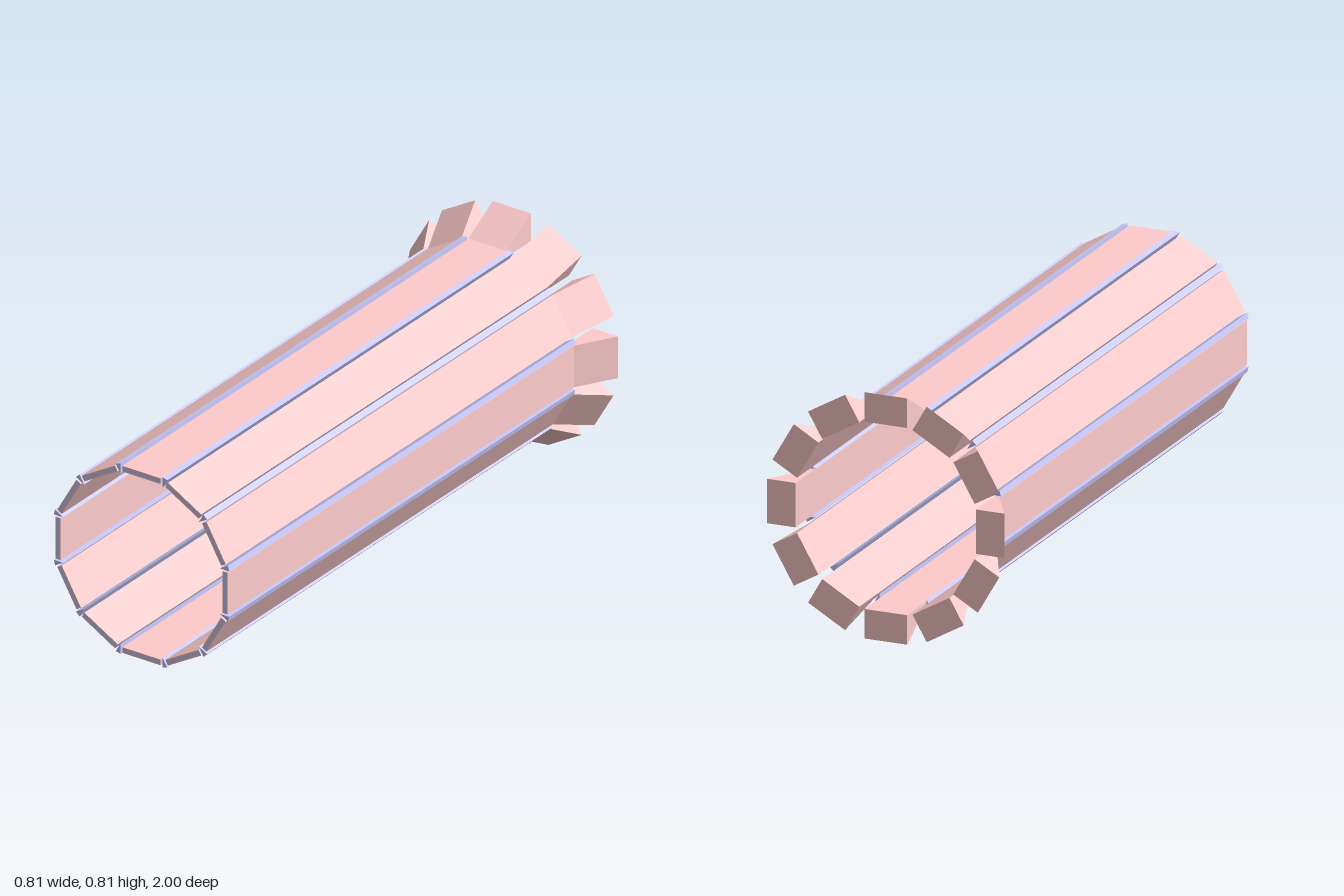
import * as THREE from 'three';

const SIDES = 12, CENTER_Y = 0.405;
const FRONT = 1, NECK = -0.87, BACK = -1;
const WIDTH = 0.146, R_IN = 0.308, R_OUT = 0.328, R_FLARE = 0.405;

const pink = new THREE.MeshStandardMaterial({ color: 0xffcccc, flatShading: true });
const lavender = new THREE.MeshStandardMaterial({ color: 0xccccff, flatShading: true });

function part(name, geometry, material) {
  const mesh = new THREE.Mesh(geometry, material);
  mesh.name = name;
  return mesh;
}

// flat board between two radii, running from the front to the neck
function board(r0, r1) {
  return new THREE.BoxGeometry(WIDTH, r1 - r0, FRONT - NECK)
    .translate(0, (r0 + r1) / 2, (FRONT + NECK) / 2);
}

// triangular strip whose thin edge points to the axis
function stripGeometry() {
  const shape = new THREE.Shape([
    new THREE.Vector2(0, 0.309),
    new THREE.Vector2(0.0095, 0.343),
    new THREE.Vector2(-0.0095, 0.343),
  ]);
  return new THREE.ExtrudeGeometry(shape, { depth: FRONT - NECK, bevelEnabled: false })
    .translate(0, 0, NECK);
}

// block that thickens outward toward the back, level on its inner side
function flareGeometry() {
  const geo = new THREE.BoxGeometry(WIDTH, 1, NECK - BACK);
  const p = geo.attributes.position;
  for (let i = 0; i < p.count; i++) {
    const back = p.getZ(i) < 0;
    const outer = back ? R_FLARE : R_OUT;
    p.setY(i, p.getY(i) > 0 ? outer : R_IN);
    p.setZ(i, back ? BACK : NECK);
  }
  geo.computeVertexNormals();
  return geo;
}

export function createModel() {
  const model = new THREE.Group();
  model.name = 'staveTube';

  const inner = board(R_IN, 0.313);
  const core = board(0.313, 0.323);
  const outer = board(0.323, R_OUT);
  const flare = flareGeometry();
  const strip = stripGeometry();
  const step = (Math.PI * 2) / SIDES;

  for (let i = 0; i < SIDES; i++) {
    // layered stave with its flared end block
    const stave = new THREE.Group();
    stave.name = 'stave';
    stave.add(
      part('innerLayer', inner, pink),
      part('coreLayer', core, lavender),
      part('outerLayer', outer, pink),
      part('flareBlock', flare, pink),
    );
    stave.position.y = CENTER_Y;
    stave.rotation.z = i * step;

    // wedge strip filling the gap to the next stave
    const wedge = part('wedgeStrip', strip, lavender);
    wedge.position.y = CENTER_Y;
    wedge.rotation.z = (i + 0.5) * step;
    model.add(stave, wedge);
  }
  return model;
}
